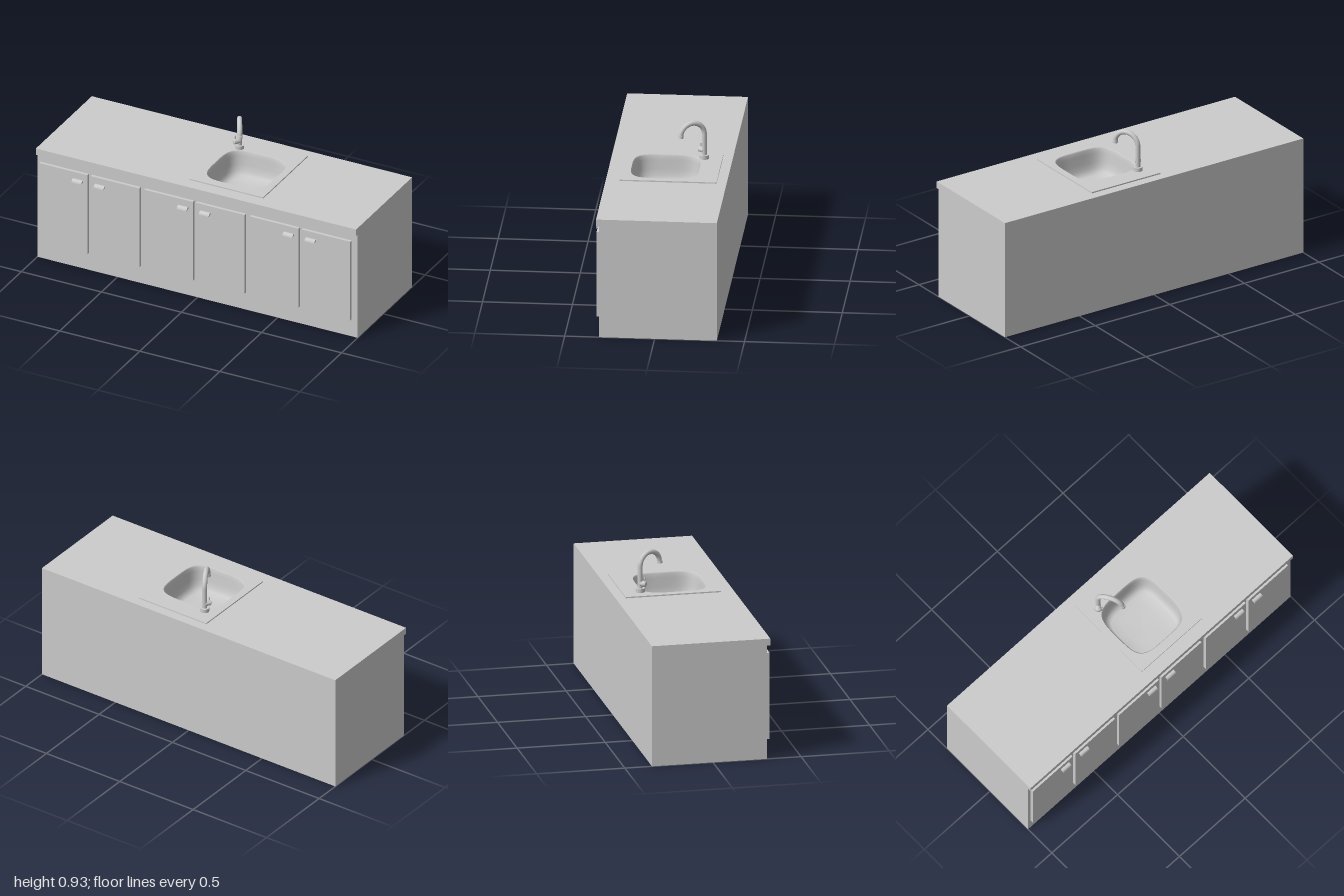
import * as THREE from 'three';

const material = new THREE.MeshStandardMaterial({ color: 0xcccccc });
const thin = new THREE.MeshStandardMaterial({ color: 0xcccccc, side: THREE.DoubleSide });
const SINK = { x: 0.15, z: 0.01, half: 0.19 };

// Squarish oval outline of the bowl, as [x, z] pairs
function bowlOutline(scale, n = 48) {
  const f = (v) => Math.sign(v) * Math.pow(Math.abs(v), 0.5) * SINK.half * scale;
  return Array.from({ length: n }, (_, i) => {
    const t = ((i + 0.5) / n) * Math.PI * 2;
    return [SINK.x + f(Math.cos(t)), SINK.z + f(Math.sin(t))];
  });
}

// Horizontal slab with an opening for the bowl
function slabWithHole(x0, x1, z0, z1, y0, y1, holeScale) {
  const shape = new THREE.Shape([[x0, -z1], [x1, -z1], [x1, -z0], [x0, -z0]].map((p) => new THREE.Vector2(...p)));
  shape.holes.push(new THREE.Path(bowlOutline(holeScale).map(([x, z]) => new THREE.Vector2(x, -z))));
  const geo = new THREE.ExtrudeGeometry(shape, { depth: y1 - y0, bevelEnabled: false });
  return geo.rotateX(-Math.PI / 2).translate(0, y0, 0);
}

// Bowl lofted through shrinking outlines
function bowlGeometry() {
  const levels = [[1, 0.702], [0.975, 0.695], [0.96, 0.67], [0.94, 0.62], [0.91, 0.585], [0.85, 0.563],
    [0.76, 0.553], [0.5, 0.549], [0.25, 0.547], [0.001, 0.546]];
  const n = 48, pos = [], idx = [];
  levels.forEach(([s, y]) => bowlOutline(s, n).forEach(([x, z]) => pos.push(x, y, z)));
  for (let r = 0; r < levels.length - 1; r++) {
    for (let i = 0; i < n; i++) {
      const j = (i + 1) % n, a = r * n + i, b = a + n, c = r * n + j, d = c + n;
      idx.push(a, b, c, c, b, d);
    }
  }
  const geo = new THREE.BufferGeometry();
  geo.setAttribute('position', new THREE.Float32BufferAttribute(pos, 3));
  geo.setIndex(idx);
  geo.computeVertexNormals();
  return geo;
}

// Curved pull handle, profile drawn in z (outwards) and y
function handleGeometry(width) {
  const s = new THREE.Shape();
  s.moveTo(0, 0.568);
  s.lineTo(0.006, 0.568);
  s.quadraticCurveTo(0.02, 0.566, 0.022, 0.55);
  s.lineTo(0.018, 0.548);
  s.quadraticCurveTo(0.014, 0.557, 0, 0.555);
  const geo = new THREE.ExtrudeGeometry(s, { depth: width, bevelEnabled: false, curveSegments: 6 });
  return geo.rotateY(-Math.PI / 2).translate(width / 2, 0, 0);
}

export function createModel() {
  const model = new THREE.Group();
  const add = (name, geo, parent = model, mat = material) => {
    const m = new THREE.Mesh(geo, mat);
    m.name = name;
    parent.add(m);
    return m;
  };
  const box = (name, x0, x1, y0, y1, z0, z1, parent) =>
    add(name, new THREE.BoxGeometry(x1 - x0, y1 - y0, z1 - z0), parent)
      .position.set((x0 + x1) / 2, (y0 + y1) / 2, (z0 + z1) / 2);

  // Cabinet carcass, hollow under the worktop
  const cabinet = new THREE.Group();
  cabinet.name = 'cabinet';
  model.add(cabinet);
  const t = 0.02, back = -0.346, front = 0.308, top = 0.655;
  box('floorPanel', -1 + t, 1 - t, 0, t, back + t, front - t, cabinet);
  box('backPanel', -1 + t, 1 - t, 0, top, back, back + t, cabinet);
  box('frontPanel', -1 + t, 1 - t, 0, top, front - t, front, cabinet);
  box('rightPanel', -1, -1 + t, 0, top, back, front, cabinet);
  box('leftPanel', 1 - t, 1, 0, top, back, front, cabinet);

  add('worktop', slabWithHole(-1, 1, back, 0.326, top, 0.695, 1));

  // Three pairs of doors with handles near the meeting edges
  const doorWidth = 0.303;
  [-0.667, -0.01, 0.65].forEach((mid) => {
    for (const side of [-1, 1]) {
      const x = mid + side * (0.01 + doorWidth / 2);
      box('door', x - doorWidth / 2, x + doorWidth / 2, 0.108, 0.608, front, 0.326);
      add('doorHandle', handleGeometry(0.062)).position.set(mid + side * 0.069, 0, 0.325);
    }
  });

  // Sink
  const sink = new THREE.Group();
  sink.name = 'sink';
  model.add(sink);
  add('sinkPlate', slabWithHole(-0.08, 0.38, -0.29, 0.25, 0.695, 0.702, 1), sink);
  add('bowl', bowlGeometry(), sink, thin);

  // Tap, modelled along +x and turned towards the bowl
  const tap = new THREE.Group();
  tap.name = 'tap';
  tap.position.set(0.003, 0, -0.19);
  tap.rotation.y = -Math.atan2(0.125, 0.067);
  model.add(tap);
  add('tapBase', new THREE.CylinderGeometry(0.026, 0.026, 0.022, 32), tap).position.y = 0.713;
  const r = 0.071, cy = 0.848, arc = Math.PI * 0.95;
  const path = new THREE.CurvePath();
  path.add(new THREE.LineCurve3(new THREE.Vector3(0, 0.72, 0), new THREE.Vector3(0, cy, 0)));
  const bend = Array.from({ length: 17 }, (_, i) => {
    const a = (arc * i) / 16;
    return new THREE.Vector3(r - r * Math.cos(a), cy + r * Math.sin(a), 0);
  });
  path.add(new THREE.CatmullRomCurve3(bend));
  add('spout', new THREE.TubeGeometry(path, 64, 0.014, 16), tap);
  const nozzle = add('nozzle', new THREE.CylinderGeometry(0.0145, 0.016, 0.016, 20), tap);
  nozzle.position.set(2 * r, 0.85, 0);
  nozzle.rotation.z = 0.1;

  // Mixer knob on the side of the riser, with a short lever
  const knob = new THREE.Group();
  knob.name = 'mixerKnob';
  knob.position.y = 0.75;
  knob.rotation.y = -Math.PI * 0.36;
  tap.add(knob);
  add('knobBody', new THREE.CylinderGeometry(0.016, 0.016, 0.03, 24).rotateZ(Math.PI / 2), knob).position.x = 0.017;
  add('knobCap', new THREE.SphereGeometry(0.016, 20, 12).scale(0.4, 1, 1), knob).position.x = 0.032;
  const lever = add('lever', new THREE.CapsuleGeometry(0.004, 0.026, 4, 10), knob);
  lever.position.set(0.026, 0.022, 0);
  lever.rotation.z = -0.15;

  return model;
}
